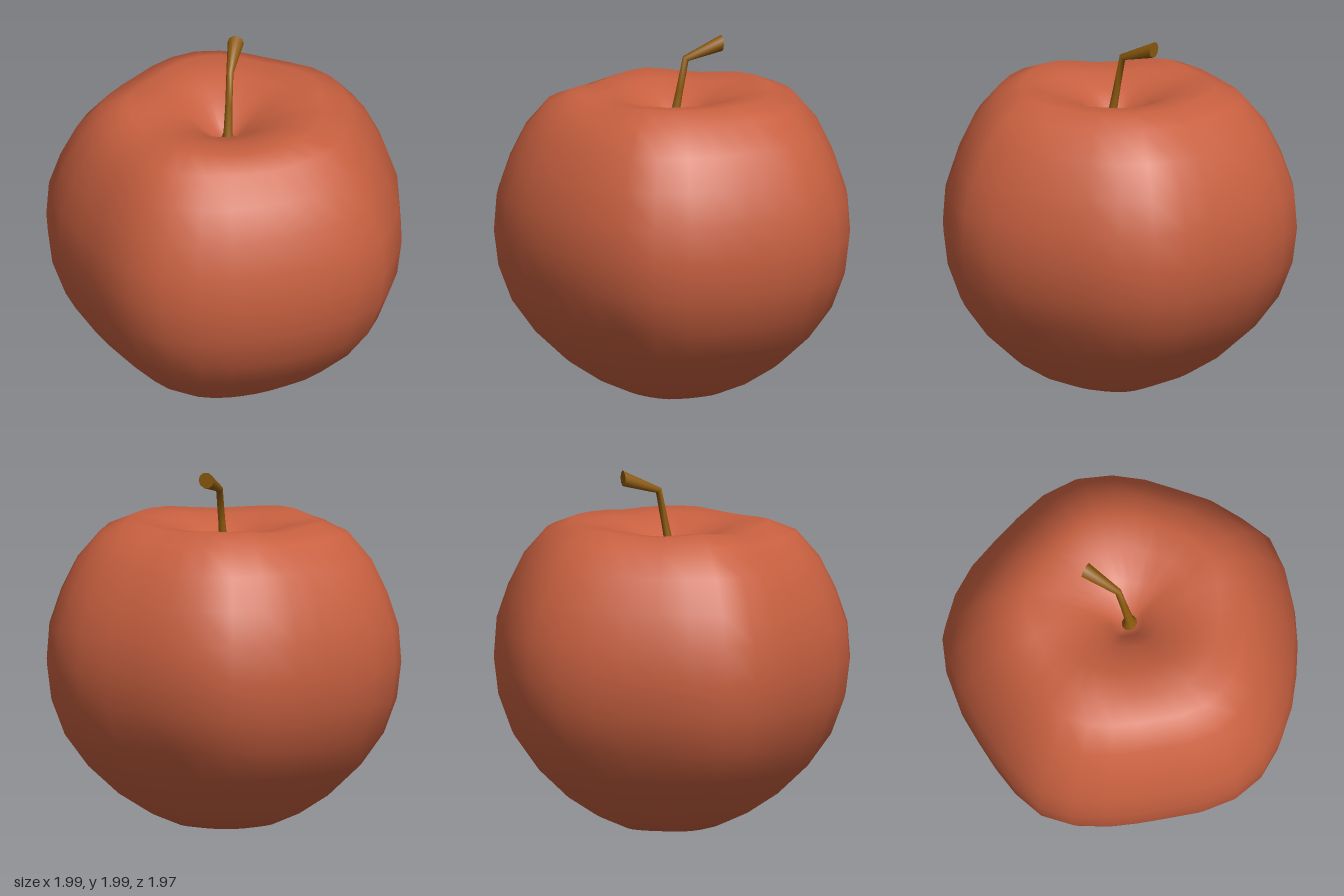
import * as THREE from 'three';
import { mergeVertices } from 'three/addons/utils/BufferGeometryUtils.js';

const skin = new THREE.MeshStandardMaterial({ name: 'red skin', color: 0xc86040 });
const wood = new THREE.MeshStandardMaterial({ name: 'brown stem', color: 0x8c5a0e });

// Lobed outline: radius every 1/32 turn, from +x towards +z
const OUTLINE = [
  0.99, 1.0, 1.03, 1.0, 0.97, 0.95, 0.945, 0.96, 0.98, 1.0, 0.99, 0.955, 0.92, 0.92, 0.945, 0.98,
  1.0, 0.975, 0.95, 0.945, 0.97, 1.0, 1.025, 1.01, 0.99, 0.97, 0.98, 1.015, 1.035, 1.02, 0.995, 0.975,
];

// Fruit profile (radius, height) from the bottom dimple to the stem hollow
const PROFILE = [
  [0, 0.14], [0.05, 0.11], [0.13, 0.05], [0.27, 0.01], [0.43, 0.08], [0.6, 0.19], [0.77, 0.35],
  [0.9, 0.53], [0.975, 0.73], [1, 0.93], [0.985, 1.13], [0.92, 1.32], [0.83, 1.5], [0.7, 1.65],
  [0.55, 1.71], [0.38, 1.69], [0.2, 1.62], [0.09, 1.52], [0, 1.45],
];

function fruitGeometry() {
  let g = new THREE.LatheGeometry(PROFILE.map(([r, y]) => new THREE.Vector2(r, y)), 32);
  const p = g.attributes.position;
  for (let i = 0; i < p.count; i++) {
    const x = p.getX(i), y = p.getY(i), z = p.getZ(i);
    const k = Math.round((Math.atan2(z, x) / (2 * Math.PI)) * 32 + 32) % 32;
    const r = Math.hypot(x, z), s = OUTLINE[k];
    // lobes also lift the upper rim slightly
    const rim = y > 1.4 ? Math.max(0, 1 - Math.abs(r - 0.5) / 0.35) : 0;
    p.setXYZ(i, x * s, y + rim * Math.min(0, s - 1) * 0.4, z * s);
  }
  g.deleteAttribute('normal');
  g.deleteAttribute('uv');
  g = mergeVertices(g, 1e-4);
  g.computeVertexNormals();
  return g;
}

// Bent stem: rings of [height, z, radius, backward tilt]
function stemGeometry() {
  const rings = [
    [1.46, 0.015, 0.052, 0.1], [1.54, 0.005, 0.025, 0.2], [1.7, -0.027, 0.02, 0.2],
    [1.88, -0.063, 0.02, 0.75], [1.956, -0.27, 0.045, Math.PI / 2],
  ];
  const n = 10, pos = [], idx = [];
  const addRing = ([y, z, r, t]) => {
    for (let j = 0; j < n; j++) {
      const a = (j / n) * Math.PI * 2, v = r * Math.sin(a);
      pos.push(0.018 + r * Math.cos(a), y + v * Math.sin(t), z + v * Math.cos(t));
    }
  };
  rings.forEach(addRing);
  for (let i = 0; i < rings.length - 1; i++) {
    for (let j = 0; j < n; j++) {
      const a = i * n + j, b = i * n + ((j + 1) % n);
      idx.push(a, a + n, b + n, a, b + n, b);
    }
  }
  // flat cut end with its own vertices
  const cap = rings.length * n;
  addRing(rings[rings.length - 1]);
  for (let j = 1; j < n - 1; j++) idx.push(cap, cap + j + 1, cap + j);
  const g = new THREE.BufferGeometry();
  g.setAttribute('position', new THREE.Float32BufferAttribute(pos, 3));
  g.setIndex(idx);
  g.computeVertexNormals();
  return g;
}

export function createModel() {
  const group = new THREE.Group();
  group.name = 'apple';
  const fruit = new THREE.Mesh(fruitGeometry(), skin);
  fruit.name = 'fruit';
  const stem = new THREE.Mesh(stemGeometry(), wood);
  stem.name = 'stem';
  group.add(fruit, stem);
  return group;
}
